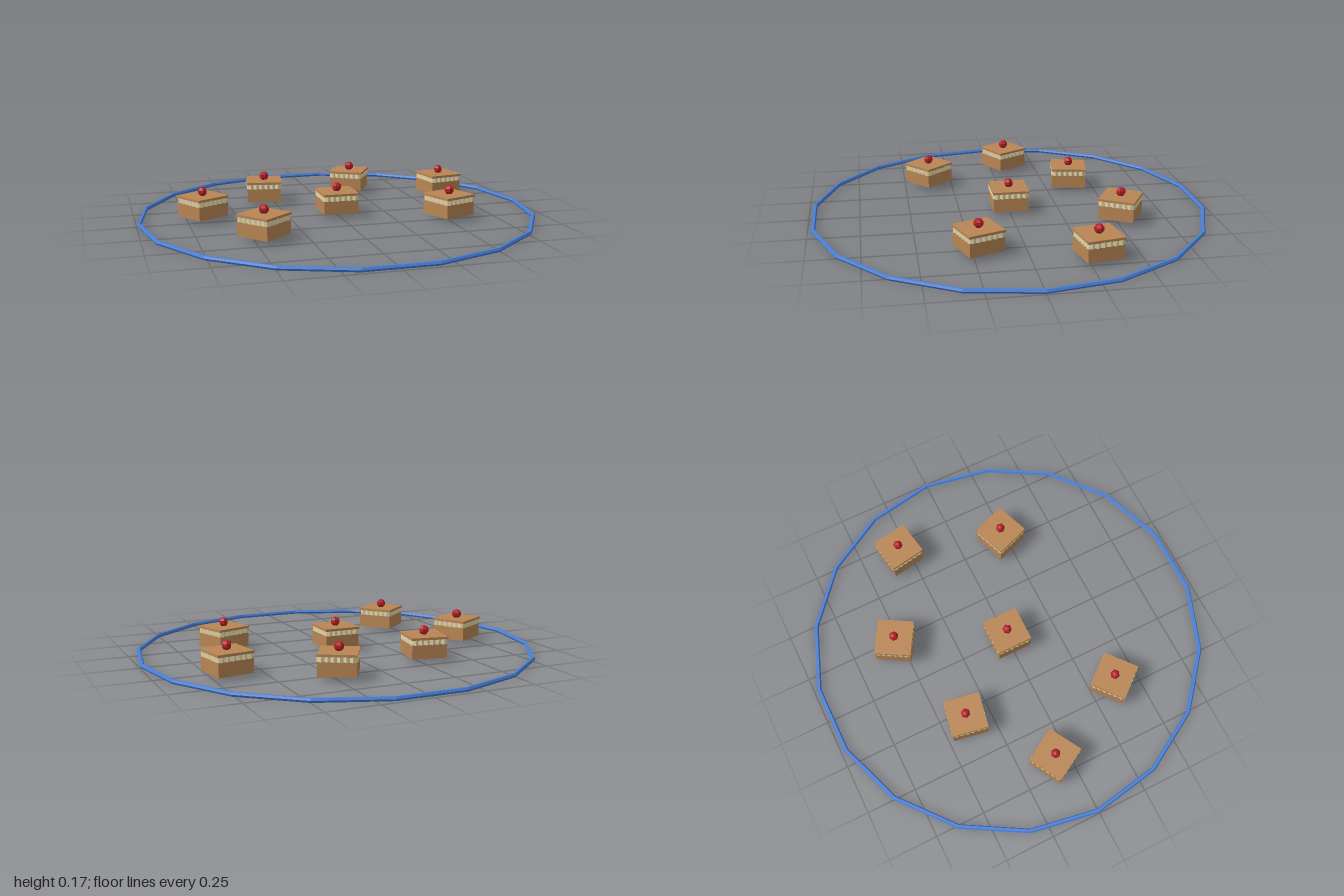
import * as THREE from 'three';

const material = (name, color) => {
  const m = new THREE.MeshStandardMaterial({ color, flatShading: true });
  m.name = name;
  return m;
};

export function createModel() {
  const group = new THREE.Group();
  group.name = 'cakeRing';
  const blue = material('blue rim', 0x4a7fd6);
  const sponge = material('sponge brown', 0xb98654);
  const cream = material('cream', 0xeedfb0);
  const red = material('cherry red', 0xb8202a);

  const add = (parent, name, geometry, mat, y) => {
    const mesh = new THREE.Mesh(geometry, mat);
    mesh.name = name;
    mesh.position.y = y;
    parent.add(mesh);
  };

  // Low-poly plate rim, open in the middle
  const rim = new THREE.TorusGeometry(0.988, 0.011, 6, 18).rotateX(-Math.PI / 2);
  add(group, 'plateRim', rim, blue, 0.0105);

  // Cream layer: a square outline with zigzag edges
  const outline = [];
  const steps = 12, inner = 0.085, outer = 0.0925;
  for (let side = 0; side < 4; side++) {
    for (let i = 0; i < steps; i++) {
      const along = -inner + (2 * inner * i) / steps;
      const out = i % 2 ? outer : inner;
      const p = new THREE.Vector2(out, along);
      outline.push(p.rotateAround(new THREE.Vector2(), (side * Math.PI) / 2));
    }
  }
  const creamGeo = new THREE.ExtrudeGeometry(new THREE.Shape(outline), { depth: 0.025, bevelEnabled: false })
    .rotateX(-Math.PI / 2);

  const baseGeo = new THREE.BoxGeometry(0.176, 0.068, 0.176);
  const topGeo = new THREE.BoxGeometry(0.182, 0.012, 0.182);
  const cherryGeo = new THREE.SphereGeometry(0.024, 6, 5);

  // Cakes: x, z, turn in degrees
  const cakes = [
    [0, 0, 0], [0.22, -0.525, -30], [0.67, -0.3, 10], [-0.3, -0.375, -10],
    [-0.67, -0.075, 30], [-0.45, 0.37, 40], [0.52, 0.22, 20],
  ];
  cakes.forEach(([x, z, turn], i) => {
    const cake = new THREE.Group();
    cake.name = `cake${i + 1}`;
    cake.position.set(x, 0, z);
    cake.rotation.y = THREE.MathUtils.degToRad(turn);
    add(cake, 'spongeBase', baseGeo, sponge, 0.054);
    add(cake, 'creamFilling', creamGeo, cream, 0.087);
    add(cake, 'spongeTop', topGeo, sponge, 0.117);
    add(cake, 'cherry', cherryGeo, red, 0.142);
    group.add(cake);
  });
  return group;
}
